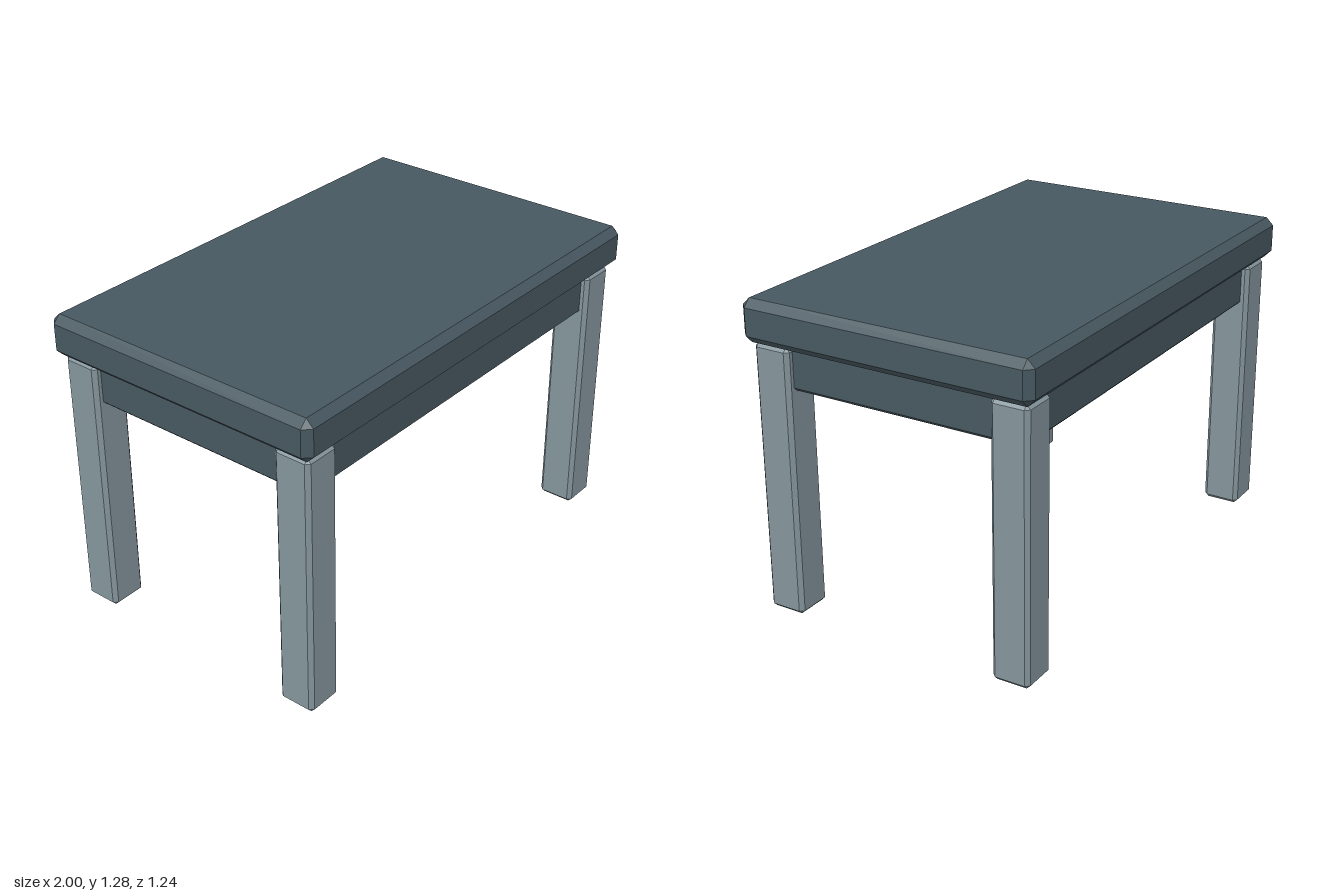
import * as THREE from 'three';
import { ConvexGeometry } from 'three/addons/geometries/ConvexGeometry.js';

// Box with flat bevels on every edge and corner
function bevelBox(w, h, d, bevel) {
  const points = [];
  for (const x of [-1, 1]) for (const y of [-1, 1]) for (const z of [-1, 1]) {
    for (let axis = 0; axis < 3; axis++) {
      const p = [w / 2 - bevel, h / 2 - bevel, d / 2 - bevel];
      p[axis] += bevel;
      points.push(new THREE.Vector3(x * p[0], y * p[1], z * p[2]));
    }
  }
  return new ConvexGeometry(points);
}

export function createModel() {
  const model = new THREE.Group();
  model.name = 'table';

  const darkSlate = new THREE.MeshStandardMaterial({ color: 0x475860 });
  darkSlate.name = 'darkSlate';
  const paleSlate = new THREE.MeshStandardMaterial({ color: 0x84959c });
  paleSlate.name = 'paleSlate';

  const add = (name, geometry, material, x, y, z) => {
    const mesh = new THREE.Mesh(geometry, material);
    mesh.name = name;
    mesh.position.set(x, y, z);
    model.add(mesh);
  };

  // Thick bevelled top
  add('tabletop', bevelBox(2, 0.172, 1.244, 0.031), darkSlate, 0, 1.194, 0);

  // Solid apron set slightly in from the outer faces of the legs
  add('apron', bevelBox(1.866, 0.185, 1.12, 0.014), darkSlate, 0, 1.0245, 0);

  // Four square legs
  const leg = bevelBox(0.157, 1.106, 0.157, 0.016);
  for (const [side, x] of [['Left', 1], ['Right', -1]]) {
    for (const [end, z] of [['front', 1], ['back', -1]]) {
      add(`${end}${side}Leg`, leg, paleSlate, x * 0.886, 0.553, z * 0.513);
    }
  }
  return model;
}
